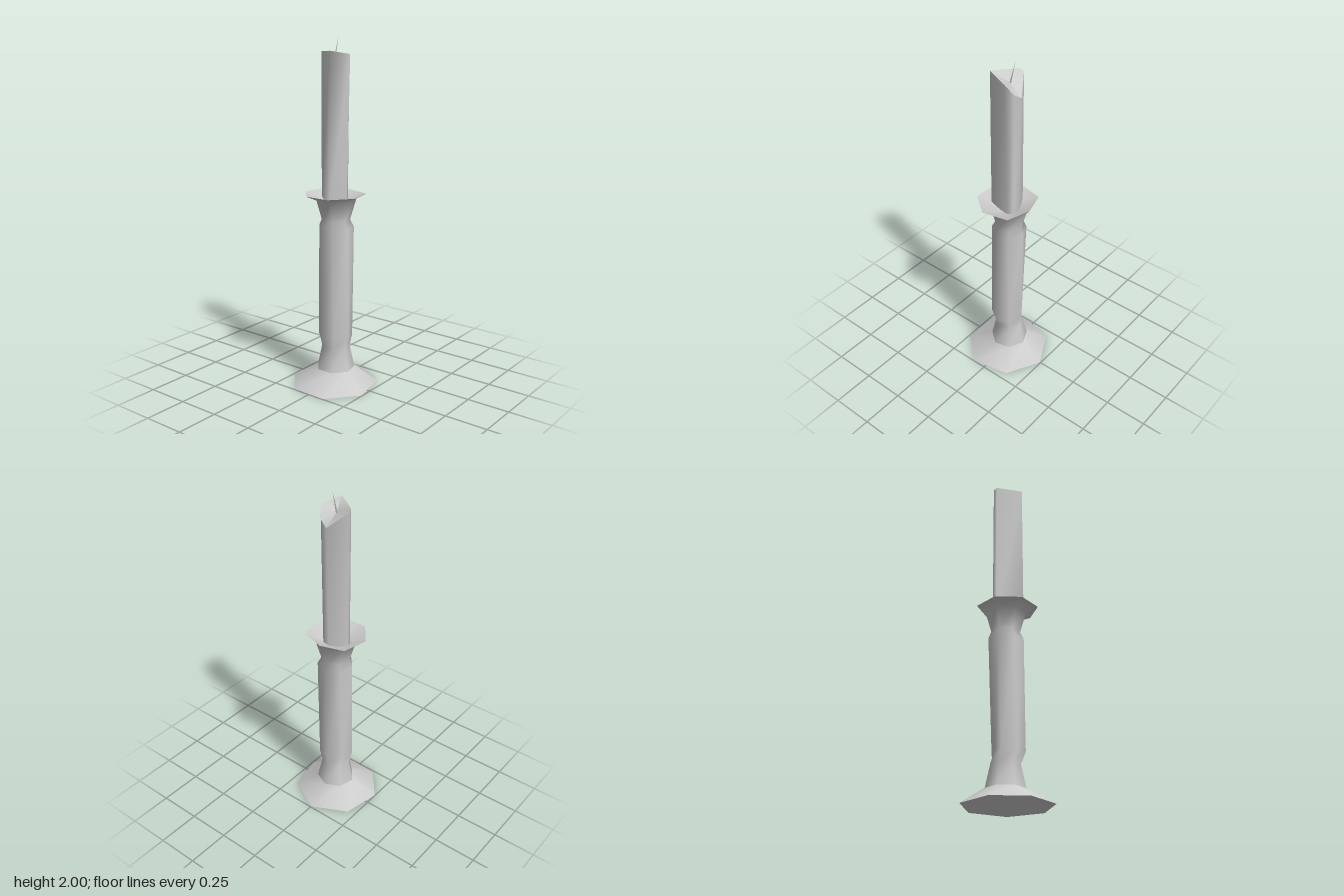
import * as THREE from 'three';

const material = new THREE.MeshStandardMaterial({ color: 0xcccccc, side: THREE.DoubleSide });

// Seven-sided ring, counter-clockwise from above; options shift and twist it.
function ring(y, rx, rz = rx, cx = 0, cz = 0, twist = 0) {
  return Array.from({ length: 7 }, (_, i) => {
    const a = (i / 7) * Math.PI * 2 + twist;
    return [cx + Math.cos(a) * rx, y, cz - Math.sin(a) * rz];
  });
}

// Flat outline of [x, z] pairs placed at height y.
const level = (outline, y) => outline.map(([x, z]) => [x, y, z]);

// Smooth skin through rings of equal point count, listed from bottom to top.
function loft(name, rings) {
  const n = rings[0].length, index = [];
  for (let r = 0; r < rings.length - 1; r++) {
    for (let i = 0; i < n; i++) {
      const j = (i + 1) % n, a = r * n, b = a + n;
      index.push(a + i, a + j, b + j, a + i, b + j, b + i);
    }
  }
  const geometry = new THREE.BufferGeometry();
  geometry.setAttribute('position', new THREE.Float32BufferAttribute(rings.flat(2), 3));
  geometry.setIndex(index);
  geometry.computeVertexNormals();
  const mesh = new THREE.Mesh(geometry, material);
  mesh.name = name;
  return mesh;
}

export function createModel() {
  const group = new THREE.Group();
  group.name = 'candlestick';

  // Flared foot, open underneath
  const foot = [[0.245, 0], [0.14, -0.204], [-0.077, -0.248], [-0.241, -0.11],
    [-0.246, 0.104], [-0.077, 0.246], [0.14, 0.203]];
  const collar = ring(0.09, 0.11, 0.113);
  group.add(loft('foot', [level(foot, 0), collar]));

  // Slightly twisted stem rising into the cup
  const rim = level([[0.142, 0], [0.1, -0.137], [-0.05, -0.17], [-0.17, -0.075],
    [-0.17, 0.078], [-0.05, 0.173], [0.1, 0.14]], 1.13);
  const lower = ring(0.29, 0.097, 0.102, -0.008, 0.004, 0.1);
  lower[1][0] -= 0.022; // worn corner low on the stem
  lower[1][2] += 0.016;
  group.add(loft('stem', [
    collar,
    ring(0.22, 0.082, 0.084),
    lower,
    ring(0.94, 0.1, 0.104, -0.001, 0.003),
    ring(0.98, 0.083),
    ring(1.1, 0.118, 0.118),
    rim,
  ]));

  // Sloping inside of the cup
  group.add(loft('cupInside', [rim, ring(1.09, 0.06), ring(1.09, 0.001)]));

  // Irregular candle with a slanted top
  const top = [[0.08, 1.81, 0], [0.015, 1.9, -0.098], [-0.005, 1.912, -0.093],
    [-0.096, 1.92, 0.037], [0.03, 1.9, 0.077], [0.066, 1.84, 0.045]];
  const bottom = level([[0.066, 0], [0.018, -0.096], [-0.005, -0.094],
    [-0.1, 0.036], [0.03, 0.057], [0.06, 0.042]], 1.08);
  group.add(loft('candle', [bottom, top]));
  group.add(loft('candleTop', [top, top.map(() => [0, 1.87, -0.005])]));

  // Thin leaning wick
  const wick = new THREE.Mesh(new THREE.ConeGeometry(0.006, 0.136, 3), material);
  wick.name = 'wick';
  wick.position.set(0.0175, 1.934, -0.005);
  wick.rotation.z = -0.26;
  group.add(wick);

  return group;
}
